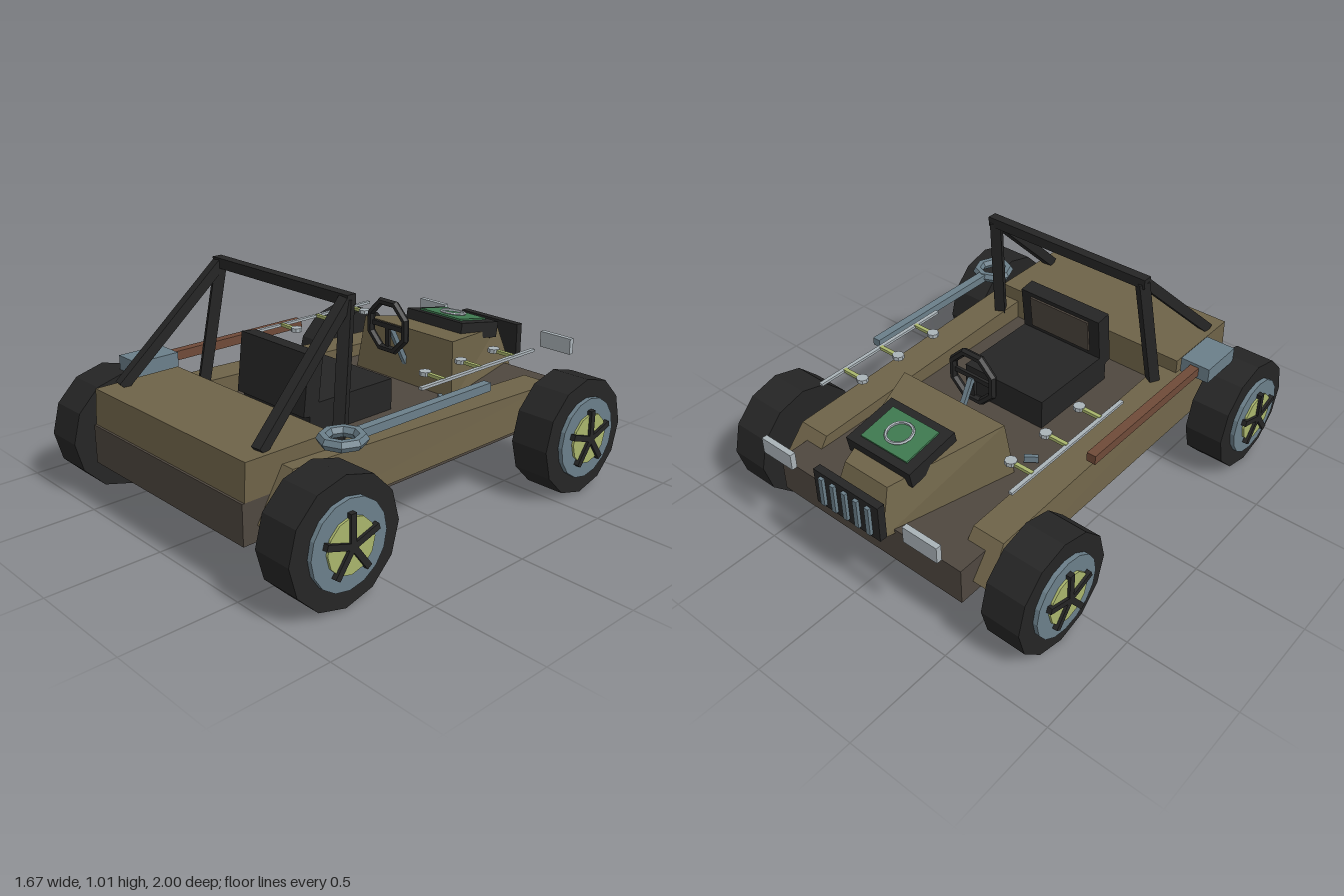
import * as THREE from 'three';

const mat = (name, color) => {
  const m = new THREE.MeshStandardMaterial({ color });
  m.name = name;
  return m;
};

export function createModel() {
  const tan = mat('tan paint', 0x6e6348), brown = mat('brown hull', 0x4f473f);
  const black = mat('black', 0x252525), steel = mat('blue steel', 0x6b7f8a);
  const lime = mat('lime', 0xa9b56c), silver = mat('silver', 0xaab3b8);
  const green = mat('green', 0x3f7a50), rust = mat('rust wood', 0x6f4a38);
  const model = new THREE.Group();
  model.name = 'buggy';

  // Faceted mesh helper
  const add = (name, geometry, material, pos = [0, 0, 0], parent = model) => {
    const g = geometry.index ? geometry.toNonIndexed() : geometry;
    g.computeVertexNormals();
    const m = new THREE.Mesh(g, material);
    m.name = name;
    m.position.set(...pos);
    parent.add(m);
    return m;
  };
  const box = (name, w, h, d, material, pos, parent) =>
    add(name, new THREE.BoxGeometry(w, h, d), material, pos, parent);
  // Box whose eight corners are placed by a rule (i, j, k are 0 or 1 along x, y, z)
  const block = (name, rule, material) => {
    const g = new THREE.BoxGeometry(1, 1, 1), p = g.attributes.position;
    for (let n = 0; n < p.count; n++)
      p.setXYZ(n, ...rule(+(p.getX(n) > 0), +(p.getY(n) > 0), +(p.getZ(n) > 0)));
    return add(name, g, material);
  };
  // Square bar between two points
  const bar = (name, a, b, w, material, parent) => {
    const s = new THREE.Vector3(...a), e = new THREE.Vector3(...b);
    const m = box(name, w, w, s.distanceTo(e), material, s.clone().lerp(e, 0.5).toArray(), parent);
    m.lookAt(e);
    return m;
  };
  const disc = (r, w, sides) => new THREE.CylinderGeometry(r, r, w, sides).rotateZ(Math.PI / 2);

  // Hull, rear deck and tapered bonnet
  box('hull', 1, 0.17, 1.86, brown, [0, 0.295, 0.035]);
  block('rearDeck', (i, j, k) => [i ? 0.5 : -0.5, j ? 0.535 : 0.38, k ? (j ? 0.945 : 0.955) : 0.54], tan);
  block('bonnet', (i, j, k) => {
    const x = k ? (j ? 0.275 : 0.305) : (j ? 0.115 : 0.145);
    return [i ? x : -x, j ? (k ? 0.63 : 0.56) : 0.36, k ? (j ? -0.375 : -0.345) : (j ? -0.875 : -0.945)];
  }, tan);

  // Wheels
  for (const s of [-1, 1]) for (const z of [0.74, -0.655]) {
    const wheel = new THREE.Group();
    wheel.name = z > 0 ? 'rearWheel' : 'frontWheel';
    wheel.position.set(s * 0.705, 0.263, z);
    model.add(wheel);
    add('tire', disc(0.262, 0.18, 12), black, [0, 0, 0], wheel);
    add('rim', disc(0.18, 0.05, 16), steel, [s * 0.085, 0, 0], wheel);
    add('hub', disc(0.113, 0.05, 12), lime, [s * 0.095, 0, 0], wheel);
    for (let i = 0; i < 5; i++) {
      const a = i * Math.PI * 0.4;
      const spoke = box('spoke', 0.024, 0.13, 0.026, black,
        [s * 0.12, Math.cos(a) * 0.065, Math.sin(a) * 0.065], wheel);
      spoke.rotation.x = a;
    }
  }

  for (const s of [-1, 1]) {
    // Side sponsons
    block('sideSponson', (i, j, k) => {
      const outer = (s > 0) === (i === 1);
      return [s * (outer ? (j ? 0.56 : 0.58) : 0.41),
        j ? (k ? 0.478 : 0.428) : 0.275, k ? (j ? 0.78 : 0.9) : (j ? -0.72 : -0.83)];
    }, tan);
    // Suspension arms
    bar('suspensionArm', [s * 0.48, 0.31, -0.44], [s * 0.65, 0.255, -0.65], 0.045, steel);
    // Roll cage sides
    bar('rollPost', [s * 0.395, 0.99, 0.365], [s * 0.44, 0.46, 0.445], 0.048, black);
    bar('rollBrace', [s * 0.395, 0.99, 0.37], [s * 0.455, 0.535, 0.85], 0.045, black);
    // Headlights
    box('headlight', 0.17, 0.075, 0.025, silver, [s * 0.39, 0.522, -0.977]);
    // Side rails with round-ended stubs
    box('sideRail', 0.018, 0.012, 0.715, silver, [s * 0.518, 0.595, -0.273]);
    for (const z of [-0.495, -0.28, -0.06]) {
      box('railStub', 0.12, 0.014, 0.018, lime, [s * 0.455, 0.597, z]);
      add('railKnob', new THREE.CylinderGeometry(0.026, 0.026, 0.018, 8), silver, [s * 0.408, 0.598, z]);
    }
    // Pedals
    const pedal = box('pedal', 0.06, 0.03, 0.018, steel, [s * 0.32, 0.405, -0.26]);
    pedal.rotation.y = s * -0.65;
  }
  box('rollTopBar', 0.84, 0.044, 0.044, black, [0, 0.992, 0.365]);

  // Seat
  box('seatCushion', 0.43, 0.14, 0.46, black, [0, 0.452, 0.17]);
  const back = new THREE.Group();
  back.name = 'seatBack';
  back.position.set(0, 0.6, 0.38);
  back.rotation.x = -0.12;
  model.add(back);
  box('backrest', 0.43, 0.26, 0.075, black, [0, 0, 0], back);
  box('backrestPanel', 0.32, 0.16, 0.009, brown, [0, 0.03, -0.042], back);

  // Steering wheel and column
  const steering = new THREE.Group();
  steering.name = 'steeringWheel';
  steering.position.set(0, 0.667, -0.25);
  model.add(steering);
  add('steeringRim', new THREE.TorusGeometry(0.115, 0.018, 6, 8).rotateZ(Math.PI / 8), black, [0, 0, 0], steering);
  box('steeringSpoke', 0.21, 0.022, 0.014, black, [0, 0, 0], steering);
  box('lowerSpoke', 0.022, 0.1, 0.014, black, [0, -0.055, 0], steering);
  bar('steeringColumn', [0, 0.665, -0.26], [0, 0.45, -0.375], 0.022, steel);

  // Bonnet case with green panel and ring
  const unit = new THREE.Group();
  unit.name = 'bonnetCase';
  unit.position.set(0, 0.595, -0.675);
  unit.rotation.x = -0.17;
  model.add(unit);
  box('caseBody', 0.345, 0.075, 0.26, black, [0, 0, 0], unit);
  const foot = add('caseFoot', new THREE.CylinderGeometry(0.225, 0.18, 0.07, 4, 1).rotateY(Math.PI / 4),
    black, [0, -0.06, -0.07], unit);
  foot.scale.z = 0.3;
  box('greenPanel', 0.25, 0.009, 0.185, green, [0, 0.041, 0], unit);
  add('panelRing', new THREE.TorusGeometry(0.056, 0.007, 5, 16).rotateX(Math.PI / 2), silver, [0, 0.05, 0], unit);

  // Grille
  box('grille', 0.35, 0.17, 0.035, black, [0, 0.48, -0.968]);
  for (let i = -2; i <= 2; i++) box('grilleSlat', 0.022, 0.135, 0.02, steel, [i * 0.063, 0.48, -0.99]);

  // Ring spanner on the left side
  box('spannerBar', 0.038, 0.036, 0.74, steel, [0.603, 0.553, 0.145]);
  add('spannerRing', new THREE.TorusGeometry(0.075, 0.024, 6, 8).rotateX(Math.PI / 2), steel, [0.603, 0.553, 0.58]);

  // Hammer on the right side
  box('hammerHandle', 0.042, 0.042, 0.76, rust, [-0.603, 0.55, 0.14]);
  box('hammerHead', 0.14, 0.07, 0.21, steel, [-0.605, 0.55, 0.617]);

  return model;
}
